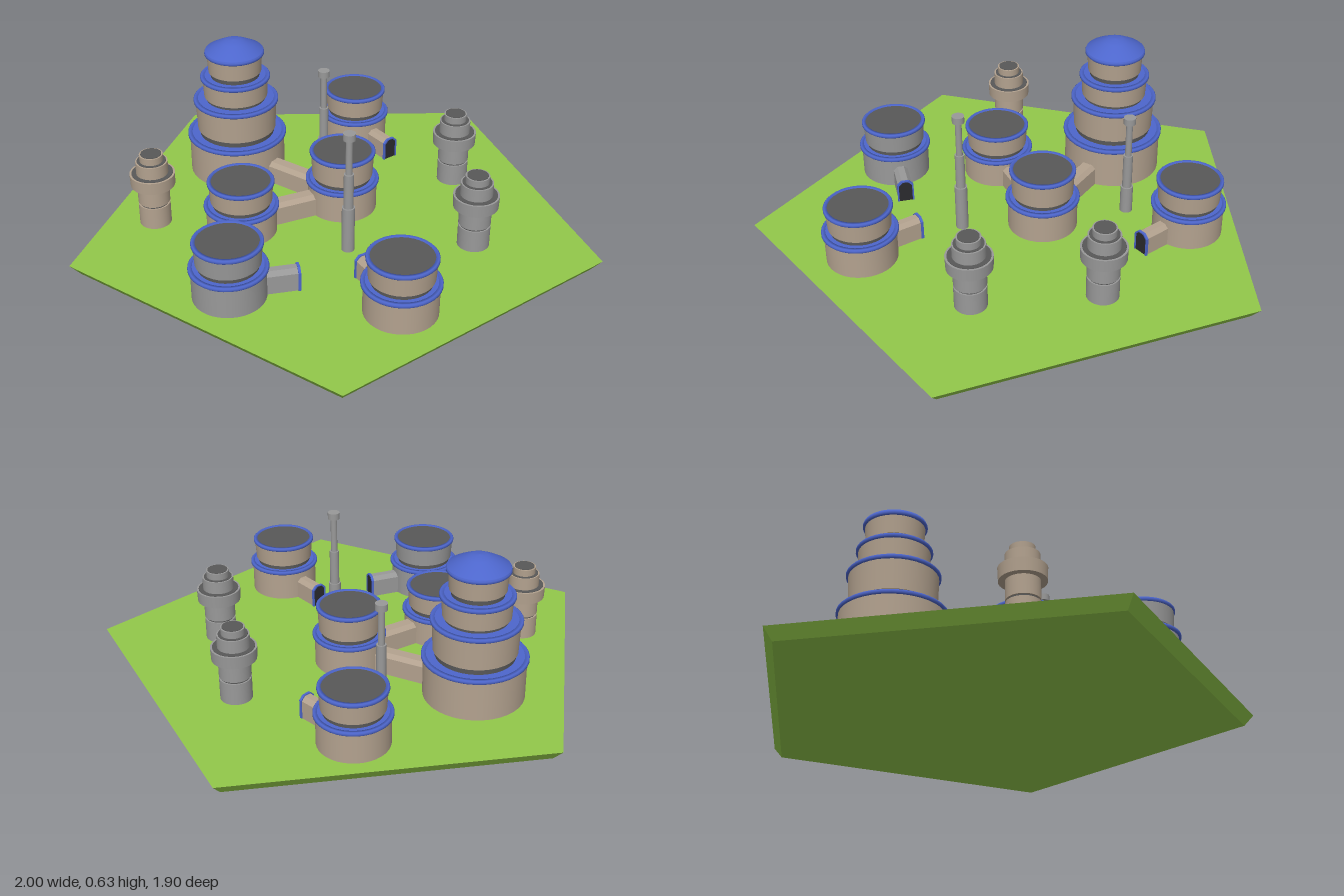
import * as THREE from 'three';

const mat = (color, extra = {}) => new THREE.MeshStandardMaterial({ color, ...extra });
const GROUND = 0.045;

export function createModel() {
  const model = new THREE.Group();
  const tan = mat(0xb3a28f), grey = mat(0x999999), blue = mat(0x4d66cc);
  const dark = mat(0x585858), black = mat(0x2a2a2e), green = mat(0x92c84a, { flatShading: true });

  const add = (parent, name, geometry, material) => {
    const mesh = new THREE.Mesh(geometry, material);
    mesh.name = name;
    parent.add(mesh);
    return mesh;
  };
  const groupAt = (name, x, z) => {
    const g = new THREE.Group();
    g.name = name;
    g.position.set(x, 0, z);
    model.add(g);
    return g;
  };
  // Upright drum between two heights
  const drum = (parent, name, y0, y1, r0, r1, material, sides = 36) => {
    const m = add(parent, name, new THREE.CylinderGeometry(r1, r0, y1 - y0, sides), material);
    m.position.y = (y0 + y1) / 2;
    return m;
  };
  // Blue lip with a chamfered section; outer radius r, centred on height y
  const rim = (parent, y, r, width = 0.016, h = 0.008) => {
    const p = [[r - width, -h], [r - 0.004, -h], [r, -h / 2], [r, h / 2],
      [r - 0.004, h], [r - width, h], [r - width, -h]].map(([a, b]) => new THREE.Vector2(a, b));
    add(parent, 'rim', new THREE.LatheGeometry(p, 36), blue).position.y = y;
  };

  // Five-sided ground slab, slightly narrower underneath
  const ground = add(model, 'ground', new THREE.CylinderGeometry(1.051, 1.01, GROUND, 5), green);
  ground.position.set(0, GROUND / 2, 0.1);
  ground.rotation.y = Math.PI;

  // Two-storey round houses: x, z, ledge height, roof height, wall material
  const houses = [
    [0.08, 0.045, 0.17, 0.30, tan],
    [-0.34, -0.05, 0.157, 0.267, tan],
    [0.47, -0.37, 0.17, 0.283, tan],
    [-0.18, 0.72, 0.17, 0.283, tan],
    [-0.615, 0.28, 0.17, 0.283, grey],
  ];
  for (const [x, z, ledge, top, wall] of houses) {
    const g = groupAt('roundHouse', x, z);
    drum(g, 'lowerWall', GROUND - 0.01, ledge, 0.137, 0.137, wall);
    drum(g, 'ledge', ledge - 0.004, ledge + 0.006, 0.134, 0.134, blue);
    rim(g, ledge, 0.146);
    drum(g, 'neck', ledge, ledge + 0.03, 0.112, 0.112, dark);
    drum(g, 'upperWall', ledge + 0.025, top - 0.01, 0.12, 0.125, wall);
    rim(g, top - 0.008, 0.13, 0.015);
    drum(g, 'roof', top - 0.014, top - 0.004, 0.116, 0.116, dark);
  }

  // Tall stepped tower with a domed cap
  const tower = groupAt('mainTower', -0.083, -0.465);
  const tiers = [[0.035, 0.21, 0.197], [0.24, 0.365, 0.167], [0.385, 0.468, 0.135], [0.495, 0.575, 0.113]];
  tiers.forEach(([y0, y1, r], i) => {
    drum(tower, 'tierWall', y0, y1, i ? r - 0.005 : r, r, tan);
    rim(tower, y1, r + 0.008, 0.018);
    if (i === 3) return;
    drum(tower, 'tierLedge', y1 - 0.003, y1 + 0.006, r - 0.003, r - 0.003, blue);
    const next = tiers[i + 1];
    drum(tower, 'tierNeck', y1, next[0] + 0.005, next[2] - 0.013, next[2] - 0.013, dark);
  });
  const cap = [[0.119, 0.578], [0.118, 0.586], [0.08, 0.607], [0.05, 0.622], [0.03, 0.629], [0, 0.632]];
  add(tower, 'dome', new THREE.LatheGeometry(cap.map(([r, y]) => new THREE.Vector2(r, y)), 36), blue);

  // Passage cross-section: upright with chamfered upper corners
  const outline = (hw, top, c, Type = THREE.Shape) => {
    const s = new Type();
    s.moveTo(-hw, 0.03);
    s.lineTo(hw, 0.03);
    s.lineTo(hw, top - c);
    s.lineTo(hw - c, top);
    s.lineTo(c - hw, top);
    s.lineTo(-hw, top - c);
    s.closePath();
    return s;
  };
  const extrude = (shape, depth) => new THREE.ExtrudeGeometry(shape, { depth, bevelEnabled: false });

  // Passages from one point to another; the open ones end in a framed doorway
  const passages = [
    [-0.083, -0.465, 0.08, 0.045, tan, false],
    [-0.34, -0.05, 0.08, 0.045, tan, false],
    [0.47, -0.37, 0.47, -0.125, tan, true],
    [-0.18, 0.72, -0.158, 0.475, tan, true],
    [-0.615, 0.28, -0.385, 0.385, grey, true],
  ];
  for (const [x0, z0, x1, z1, wall, open] of passages) {
    const g = groupAt(open ? 'entrance' : 'corridor', x0, z0);
    const length = Math.hypot(x1 - x0, z1 - z0), hw = open ? 0.029 : 0.036;
    g.rotation.y = Math.atan2(x1 - x0, z1 - z0);
    add(g, 'passageWalls', extrude(outline(hw, 0.135, 0.016), length), wall);
    if (!open) continue;
    const frame = outline(0.033, 0.139, 0.017);
    const hole = new THREE.Path();
    hole.setFromPoints(outline(0.027, 0.132, 0.016).getPoints().map((p) => new THREE.Vector2(p.x, p.y + 0.002)));
    frame.holes.push(hole);
    add(g, 'doorFrame', extrude(frame, 0.01), blue).position.z = length - 0.005;
    add(g, 'doorway', extrude(outline(0.0275, 0.133, 0.016), 0.003), black).position.z = length - 0.001;
  }

  // Slim collared turrets
  for (const [x, z, wall] of [[-0.583, -0.3, tan], [0.572, 0.16, grey], [0.312, 0.567, grey]]) {
    const g = groupAt('turret', x, z);
    drum(g, 'base', 0.035, 0.135, 0.062, 0.062, wall, 28);
    drum(g, 'groove', 0.13, 0.147, 0.056, 0.056, dark, 28);
    drum(g, 'shaft', 0.143, 0.225, 0.062, 0.062, wall, 28);
    drum(g, 'collar', 0.217, 0.267, 0.086, 0.088, wall, 28);
    drum(g, 'collarTop', 0.26, 0.269, 0.08, 0.08, dark, 28);
    drum(g, 'head', 0.265, 0.32, 0.062, 0.062, wall, 28);
    drum(g, 'headTop', 0.315, 0.322, 0.056, 0.056, dark, 28);
    drum(g, 'crown', 0.32, 0.35, 0.045, 0.046, wall, 28);
    drum(g, 'crownTop', 0.345, 0.352, 0.04, 0.04, dark, 28);
  }

  // Stepped masts; the second one stands lower
  for (const [x, z, drop] of [[-0.097, 0.31, 0], [0.225, -0.27, 0.075]]) {
    const g = groupAt('mast', x, z);
    drum(g, 'mastFoot', 0.03, 0.235 - drop, 0.025, 0.025, grey, 16);
    drum(g, 'mastMiddle', 0.23 - drop, 0.38 - drop, 0.019, 0.019, grey, 16);
    drum(g, 'mastPole', 0.375 - drop, 0.53 - drop, 0.013, 0.013, grey, 16);
    drum(g, 'mastCap', 0.525 - drop, 0.552 - drop, 0.024, 0.024, grey, 16);
  }
  return model;
}
